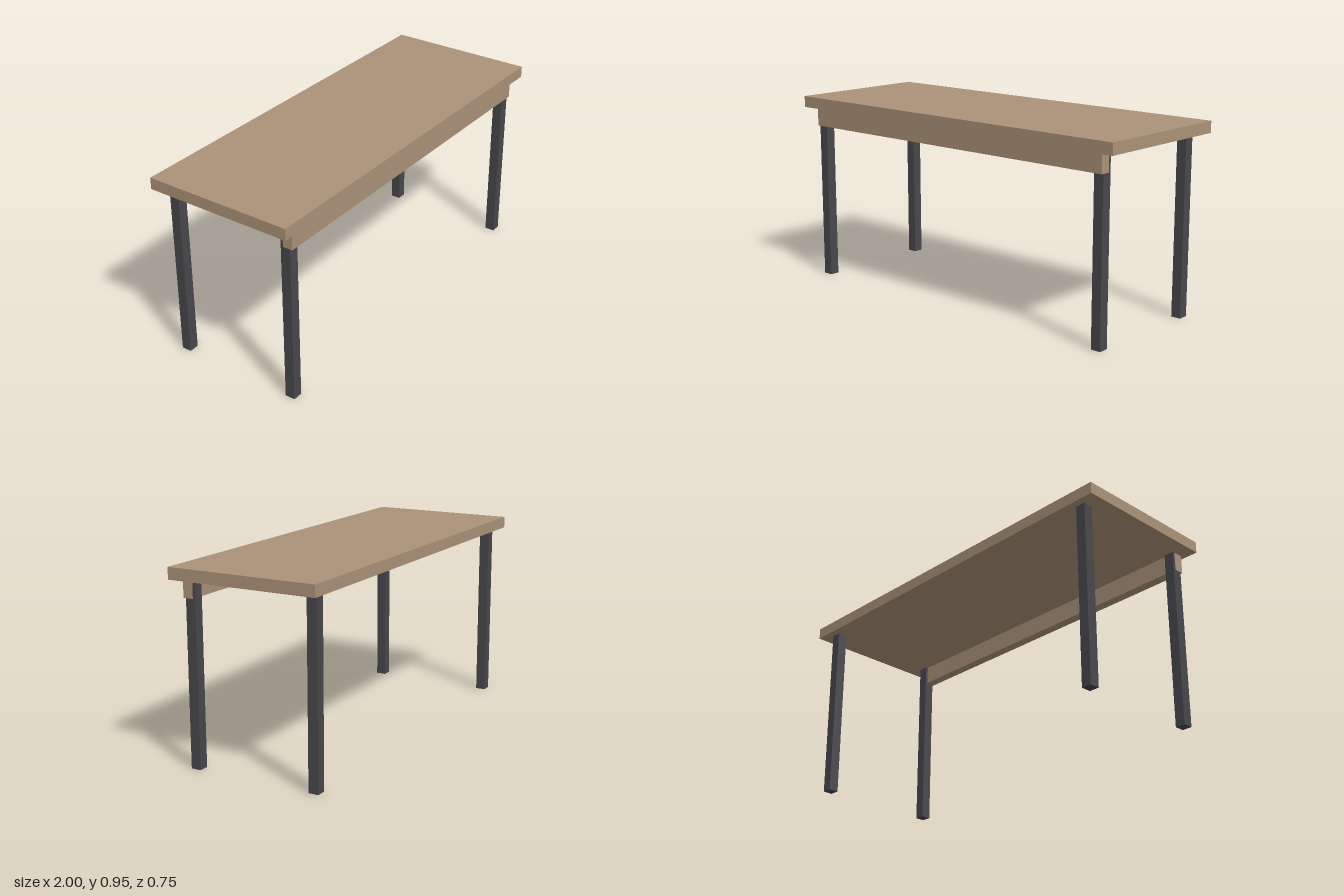
import * as THREE from 'three';

export function createModel() {
  const table = new THREE.Group();
  table.name = 'table';
  const wood = new THREE.MeshStandardMaterial({ color: 0xab9278 });
  const metal = new THREE.MeshStandardMaterial({ color: 0x48474c });

  const height = 0.95, topThickness = 0.057;
  const underside = height - topThickness;

  // Box standing with its base at height y
  function addBox(name, material, w, h, d, x, y, z) {
    const mesh = new THREE.Mesh(new THREE.BoxGeometry(w, h, d), material);
    mesh.name = name;
    mesh.position.set(x, y + h / 2, z);
    table.add(mesh);
  }

  // Table top
  addBox('tableTop', wood, 2, topThickness, 0.75, 0, underside, 0);

  // Front apron, a hair longer than the leg span so its ends cover the legs
  addBox('frontApron', wood, 1.852, underside - 0.8, 0.05, 0, 0.8, 0.325);

  // Four square legs
  for (const [side, sx] of [['Left', 1], ['Right', -1]]) {
    for (const [end, sz] of [['front', 1], ['back', -1]]) {
      addBox(`${end}${side}Leg`, metal, 0.05, underside, 0.05, sx * 0.9, 0, sz * 0.3125);
    }
  }

  return table;
}
